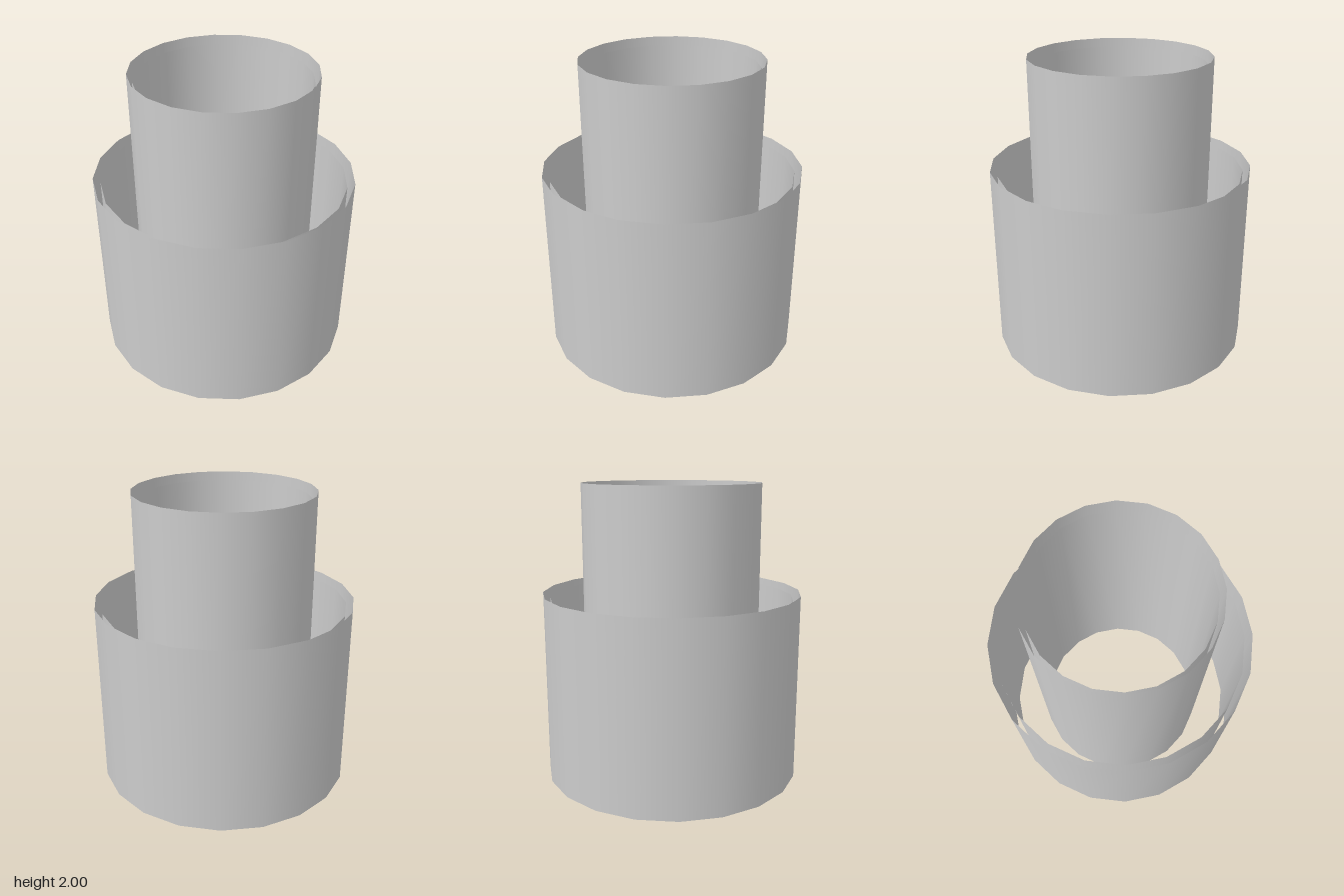
import * as THREE from 'three';

const SIDES = 20;
const INNER_SCALE = 0.945; // the lining is a slightly shrunken copy of the wall

const material = new THREE.MeshStandardMaterial({ color: 0xcccccc, side: THREE.DoubleSide });

// Open-ended sleeve: an outer wall with a smaller, shorter lining inside it
function makeSleeve(name, radius, height) {
  const sleeve = new THREE.Group();
  sleeve.name = name;
  const geometry = new THREE.CylinderGeometry(radius, radius, height, SIDES, 1, true);

  const wall = new THREE.Mesh(geometry, material);
  wall.name = name + 'Wall';
  const lining = new THREE.Mesh(geometry, material);
  lining.name = name + 'Lining';
  lining.scale.setScalar(INNER_SCALE);

  sleeve.add(wall, lining);
  sleeve.position.y = height / 2;
  return sleeve;
}

export function createModel() {
  const model = new THREE.Group();
  model.name = 'nestedTubes';
  model.add(makeSleeve('outerTube', 0.878, 1.27)); // wide, short tube
  model.add(makeSleeve('innerTube', 0.603, 2)); // narrow, tall tube
  return model;
}
